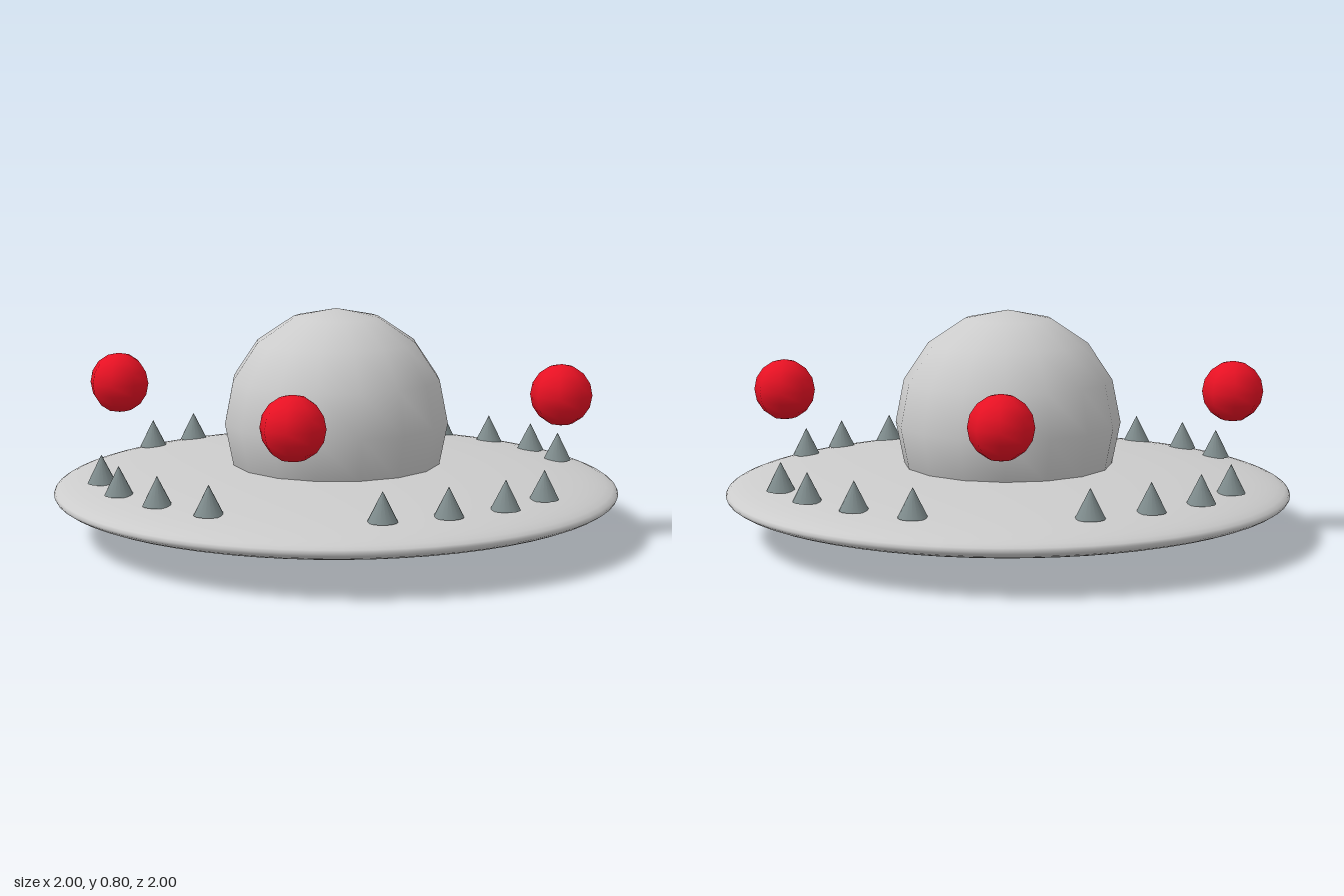
import * as THREE from 'three';

const grey = new THREE.MeshStandardMaterial({ color: 0xcccccc });
const red = new THREE.MeshStandardMaterial({ color: 0xe81123 });
const slate = new THREE.MeshStandardMaterial({ color: 0x7f8c8d });

function part(parent, name, geometry, material, x, y, z) {
  const mesh = new THREE.Mesh(geometry, material);
  mesh.name = name;
  mesh.position.set(x, y, z);
  parent.add(mesh);
  return mesh;
}

export function createModel() {
  const saucer = new THREE.Group();
  saucer.name = 'flyingSaucer';

  // Hull: a flattened smooth ellipsoid
  part(saucer, 'hull', new THREE.SphereGeometry(1, 64, 32), grey, 0, 0.165, 0).scale.y = 0.1;

  // Cabin: a coarser ball that pokes out above and below the hull
  part(saucer, 'cabin', new THREE.SphereGeometry(0.4, 16, 8), grey, 0, 0.405, 0);

  // Four floating lights, one per side
  const lightGeometry = new THREE.SphereGeometry(0.108, 8, 8);
  const lights = new THREE.Group();
  lights.name = 'lights';
  saucer.add(lights);
  for (const [x, z] of [[1, 0], [-1, 0], [0, 1], [0, -1]]) {
    part(lights, 'light', lightGeometry, red, x * 0.795, 0.518, z * 0.795);
  }

  // Spikes: four per quadrant, mirrored in x and z
  const spikeGeometry = new THREE.ConeGeometry(0.05, 0.1, 16);
  const spikes = new THREE.Group();
  spikes.name = 'spikes';
  saucer.add(spikes);
  for (const [x, z] of [[0.283, 0.765], [0.482, 0.66], [0.652, 0.522], [0.765, 0.343]]) {
    for (const sx of [1, -1]) {
      for (const sz of [1, -1]) {
        part(spikes, 'spike', spikeGeometry, slate, sx * x, 0.27, sz * z);
      }
    }
  }

  return saucer;
}
